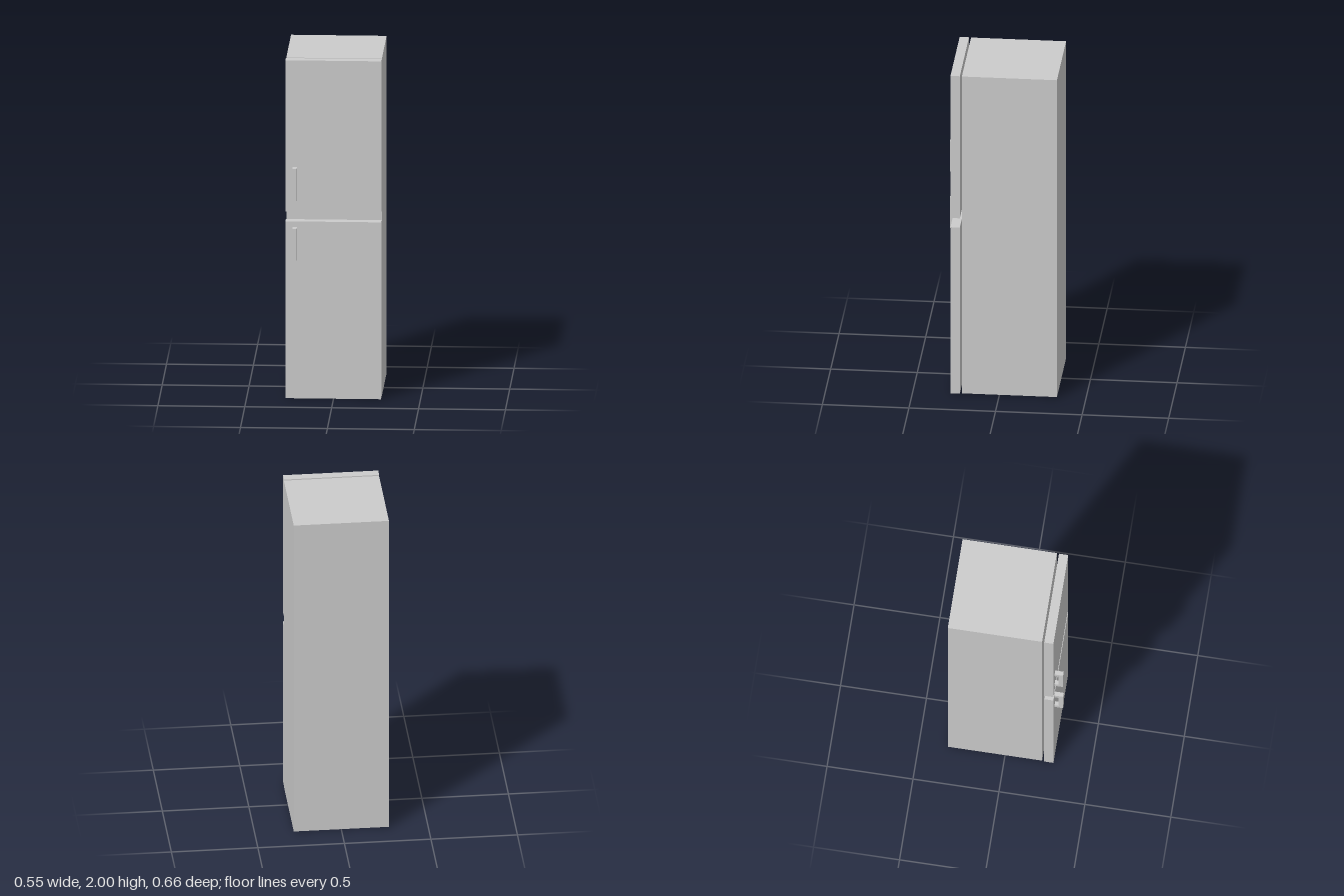
import * as THREE from 'three';

const material = new THREE.MeshStandardMaterial({ color: 0xcccccc, flatShading: true });

// Box given by its lower and upper limits on each axis
function slab(name, [x0, x1], [y0, y1], [z0, z1]) {
  const mesh = new THREE.Mesh(new THREE.BoxGeometry(x1 - x0, y1 - y0, z1 - z0), material);
  mesh.position.set((x0 + x1) / 2, (y0 + y1) / 2, (z0 + z1) / 2);
  mesh.name = name;
  return mesh;
}

// C-shaped pull handle: side profile (depth, height) extruded across its width
function handle(name, x, y, z) {
  const width = 0.025, height = 0.19, reach = 0.05, inner = 0.023, post = 0.028;
  const profile = new THREE.Shape([
    [0, 0], [reach, 0], [reach, height], [0, height],
    [0, height - post], [inner, height - post], [inner, post], [0, post],
  ].map(([d, h]) => new THREE.Vector2(d, h)));
  const geometry = new THREE.ExtrudeGeometry(profile, { depth: width, bevelEnabled: false });
  geometry.translate(0, 0, -width / 2).rotateY(-Math.PI / 2);
  const mesh = new THREE.Mesh(geometry, material);
  mesh.position.set(x, y, z);
  mesh.name = name;
  return mesh;
}

export function createModel() {
  const model = new THREE.Group();
  model.name = 'refrigerator';

  // Cabinet with a thin frame around its front
  const width = [-0.275, 0.275];
  model.add(slab('cabinet', width, [0.004, 2], [-0.333, 0.204]));
  model.add(slab('frontFrame', width, [0.004, 2], [0.204, 0.216]));

  // Two doors standing just off the cabinet, each with a handle
  const doors = [
    { name: 'lower', y: [0, 1.047], grip: 0.825 },
    { name: 'upper', y: [1.105, 2], grip: 1.18 },
  ];
  for (const { name, y, grip } of doors) {
    const door = new THREE.Group();
    door.name = `${name}Door`;
    door.add(slab(`${name}DoorPanel`, [-0.277, 0.273], y, [0.228, 0.282]));
    door.add(handle(`${name}DoorHandle`, -0.222, grip, 0.282));
    model.add(door);
  }
  return model;
}
